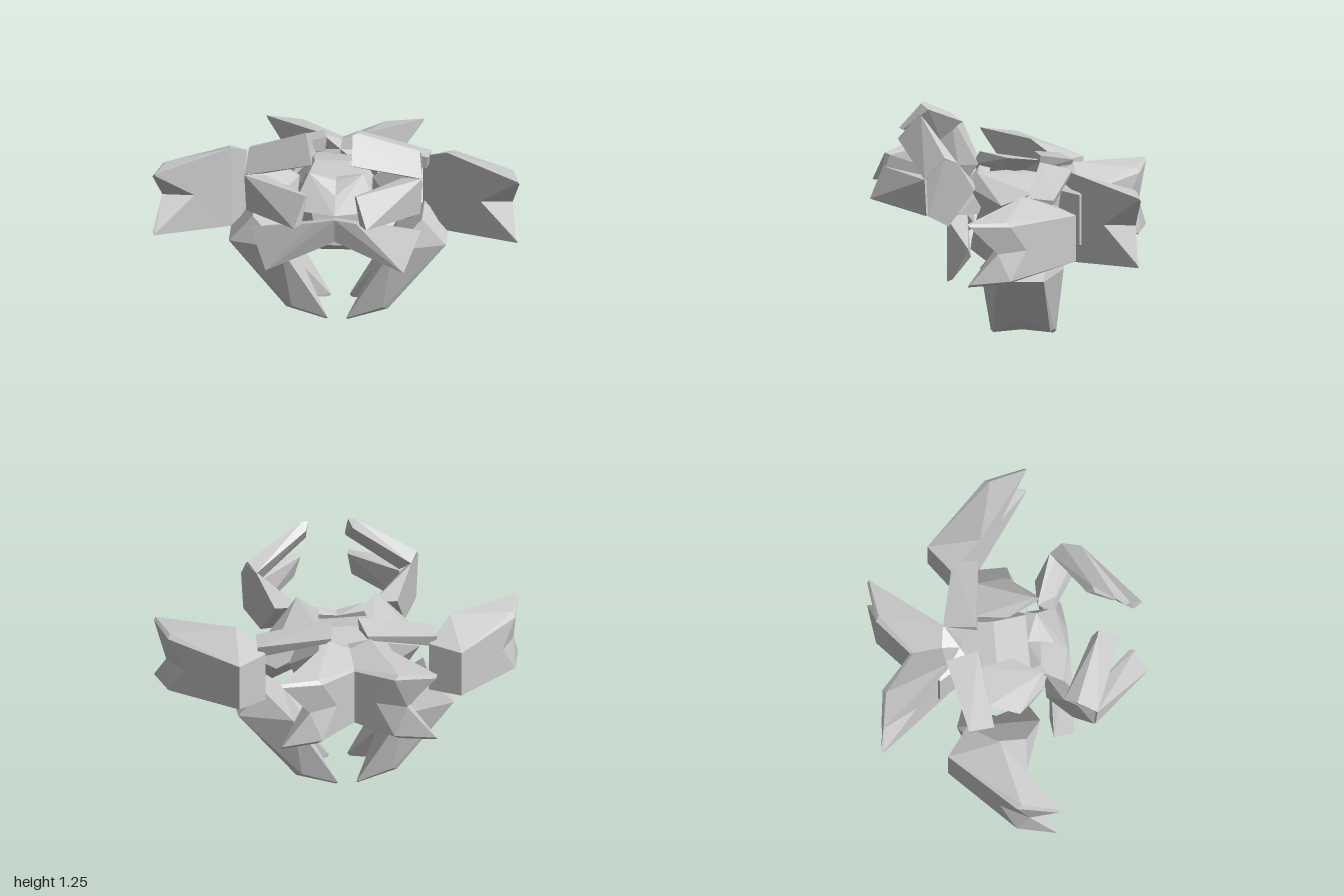
import * as THREE from 'three';
import { ConvexGeometry } from 'three/addons/geometries/ConvexGeometry.js';

const material = new THREE.MeshStandardMaterial({ color: 0xcccccc, flatShading: true });
const V = (p) => new THREE.Vector3(...p);

// Faceted armour piece spanned by its corner points
function hull(name, points) {
  const mesh = new THREE.Mesh(new ConvexGeometry(points), material);
  mesh.name = name;
  return mesh;
}

// The same piece on the left (+x) and right (-x)
function pair(group, name, points) {
  for (const [side, s] of [['left', 1], ['right', -1]]) {
    const mirrored = points.map((p) => new THREE.Vector3(p.x * s, p.y, p.z));
    group.add(hull(side + name, mirrored));
  }
}

// Piece that is symmetric across the middle
function centred(group, name, points) {
  group.add(hull(name, points.flatMap(([x, y, z]) => [V([x, y, z]), V([-x, y, z])])));
}

// Two-pronged limb. u runs along the back to the knuckle, v goes inward, w sideways.
function limb(group, name, knuckle, dirU, dirV, dirW) {
  const at = (u, v, w = 0) => V(knuckle)
    .addScaledVector(V(dirU), u).addScaledVector(V(dirV), v).addScaledVector(V(dirW), w);
  const notch = at(-0.12, 0), web = at(0.05, 0.05), inner = at(-0.07, 0.18);
  const shell = [notch, web, inner];
  for (const s of [1, -1]) {
    const base = at(-0.49, 0, s * 0.13), wide = at(-0.3, 0.22, s * 0.23);
    shell.push(base, wide, at(-0.52, 0.2, s * 0.14));
    pair(group, name + 'Prong' + (s > 0 ? 'A' : 'B'), [
      base, wide, notch, web, inner,
      at(0, 0, s * 0.155), at(0.01, 0.03, s * 0.175),
      at(0.19, 0.125, s * 0.165), at(0.19, 0.14, s * 0.18), at(0.18, 0.14, s * 0.165),
    ]);
  }
  pair(group, name + 'Shell', shell);
}

export function createModel() {
  const model = new THREE.Group();
  model.name = 'clawedMachine';

  // Three pairs of curved limbs
  limb(model, 'LowerLimb', [0.28, 0.05, -0.09], [-0.65, -0.76, 0], [-0.76, 0.65, 0], [0, 0, 1]);
  limb(model, 'SideLimb', [0.965, 0.68, -0.05], [0.71, 0, 0.71], [-0.71, 0, 0.71], [0, 1, 0]);
  limb(model, 'RearLimb', [0.2, 0.66, -0.72], [0.76, 0, -0.65], [0.65, 0, 0.76], [0, 1.1, 0]);

  // Central body
  centred(model, 'core', [
    [0.13, 0.86, -0.08], [0.17, 0.82, 0.12], [0.3, 0.66, -0.1], [0.18, 0.4, 0.08],
    [0.16, 0.4, -0.24], [0.16, 0.82, -0.3], [0.1, 0.47, 0.2],
  ]);

  // Face plate, notched in the middle of its top edge
  pair(model, 'FacePlate', [
    [0, 0.84, 0.17], [0, 0.84, 0.1], [0.15, 0.88, 0.16], [0.17, 0.86, 0.1],
    [0.24, 0.7, 0.27], [0.2, 0.7, 0.15], [0, 0.69, 0.32], [0, 0.69, 0.15], [0, 0.78, 0.25],
  ].map(V));

  // Winged plate below the face
  pair(model, 'ChinWing', [
    [0, 0.67, 0.33], [0.12, 0.65, 0.33], [0.47, 0.57, 0.2], [0.38, 0.36, 0.32],
    [0.37, 0.37, 0.29], [0.33, 0.49, 0.19], [0, 0.53, 0.3], [0, 0.64, 0.22],
  ].map(V));

  // Plates across the shoulders
  pair(model, 'ShoulderPlate', [
    [0.1, 0.93, -0.36], [0.07, 0.96, -0.18], [0.5, 0.86, -0.27], [0.49, 0.87, -0.13],
    [0.11, 0.9, -0.35], [0.08, 0.88, -0.17], [0.49, 0.79, -0.25], [0.48, 0.8, -0.14],
  ].map(V));
  pair(model, 'ShoulderBrace', [
    [0.12, 0.93, 0.0], [0.22, 0.94, 0.16], [0.24, 0.86, 0.2], [0.4, 0.8, 0.02],
    [0.15, 0.91, -0.18], [0.36, 0.86, -0.15], [0.3, 0.7, 0.1],
  ].map(V));

  // Front arms: elbow and two inward-turned fingers
  pair(model, 'Elbow', [
    [0.48, 1.08, 0.33], [0.43, 1.05, 0.26], [0.49, 0.97, 0.43], [0.48, 0.76, 0.42],
    [0.4, 0.68, 0.31], [0.34, 0.87, 0.17], [0.2, 0.87, 0.17], [0.21, 0.72, 0.26],
    [0.38, 0.8, 0.38], [0.25, 0.85, 0.28],
  ].map(V));
  pair(model, 'UpperFinger', [
    [0.11, 1.24, 0.48], [0.11, 1.1, 0.6], [0.15, 1.24, 0.47], [0.11, 1.09, 0.58],
    [0.13, 1.2, 0.44], [0.47, 1.09, 0.33], [0.49, 0.97, 0.44], [0.43, 1.05, 0.26], [0.38, 0.96, 0.38],
  ].map(V));
  pair(model, 'LowerFinger', [
    [0.2, 0.78, 0.75], [0.14, 0.95, 0.68], [0.49, 0.97, 0.44], [0.48, 0.76, 0.43],
    [0.16, 0.79, 0.7], [0.13, 0.94, 0.65], [0.38, 0.95, 0.38], [0.39, 0.77, 0.37],
  ].map(V));

  return model;
}
